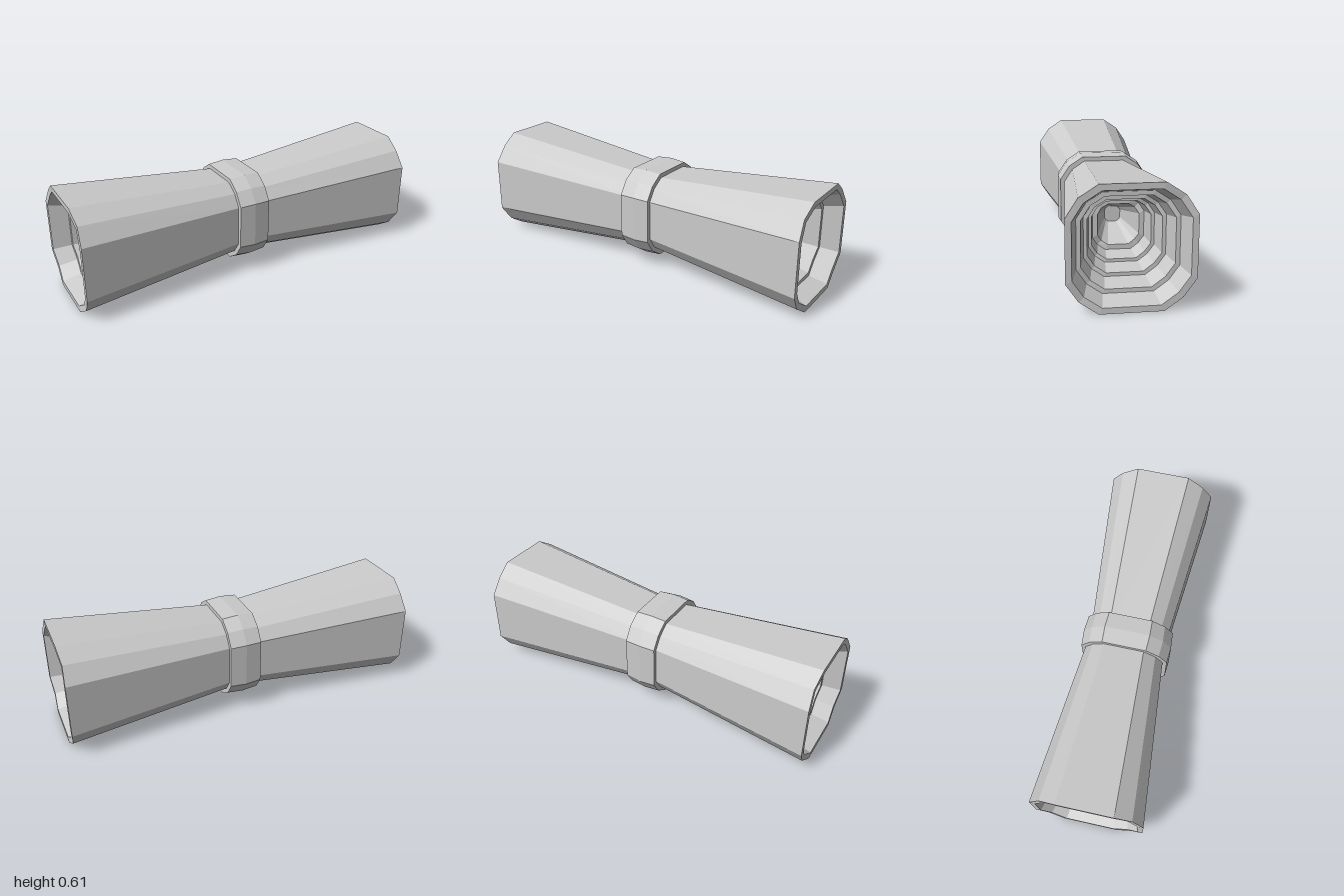
import * as THREE from 'three';

const CENTER_Y = 0.303;
const material = new THREE.MeshStandardMaterial({ color: 0xcccccc, flatShading: true });

// Twelve-sided cross-section: a square with double-chamfered corners [y, z]
const SECTION = [];
for (let q = 0; q < 4; q++) {
  const c = Math.round(Math.cos(q * Math.PI / 2)), s = Math.round(Math.sin(q * Math.PI / 2));
  for (const [y, z] of [[1, -0.5], [1, 0.5], [0.8, 0.8]]) SECTION.push([y * c - z * s, y * s + z * c]);
}

// Loft the section along x through stations [x, radius, corner recess]
function loft(name, stations) {
  const positions = [], index = [], n = SECTION.length;
  for (const [x, r, recess = 0] of stations) {
    SECTION.forEach(([y, z], j) => positions.push(x - (j % 3 === 2 ? recess : 0), y * r, z * r));
  }
  for (let i = 0; i < stations.length - 1; i++) {
    for (let j = 0; j < n; j++) {
      const a = i * n + j, b = i * n + (j + 1) % n;
      index.push(a, b, b + n, a, b + n, a + n);
    }
  }
  const indexed = new THREE.BufferGeometry();
  indexed.setAttribute('position', new THREE.Float32BufferAttribute(positions, 3));
  indexed.setIndex(index);
  const geometry = indexed.toNonIndexed();
  geometry.computeVertexNormals();
  const mesh = new THREE.Mesh(geometry, material);
  mesh.name = name;
  return mesh;
}

export function createModel() {
  const model = new THREE.Group();
  model.name = 'doubleFlaredTube';

  // Flared outer wall, then the stepped bore running back inside
  const dip = 0.008;
  const flare = [[0, 0.214], [1, 0.303, dip]];
  const steps = [[0.273, 0.243], [0.222, 0.198], [0.18, 0.162], [0.146, 0.13]];
  steps.forEach(([mouth, end], i) => {
    flare.push([1 - i * 0.1, mouth, dip], [0.9 - i * 0.1, end, dip]);
  });
  // Closing funnel and its small flat floor
  flare.push([0.6, 0.105, dip], [0.4, 0.041], [0.4, 0]);

  const leftFlare = loft('leftFlare', flare);
  const rightFlare = loft('rightFlare', flare);
  rightFlare.rotation.y = Math.PI;

  // Raised band around the waist
  const collar = loft('collar', [[-0.09, 0.2], [-0.09, 0.245], [0, 0.252], [0.09, 0.245], [0.09, 0.2]]);

  for (const part of [leftFlare, rightFlare, collar]) {
    part.position.y = CENTER_Y;
    model.add(part);
  }
  return model;
}
